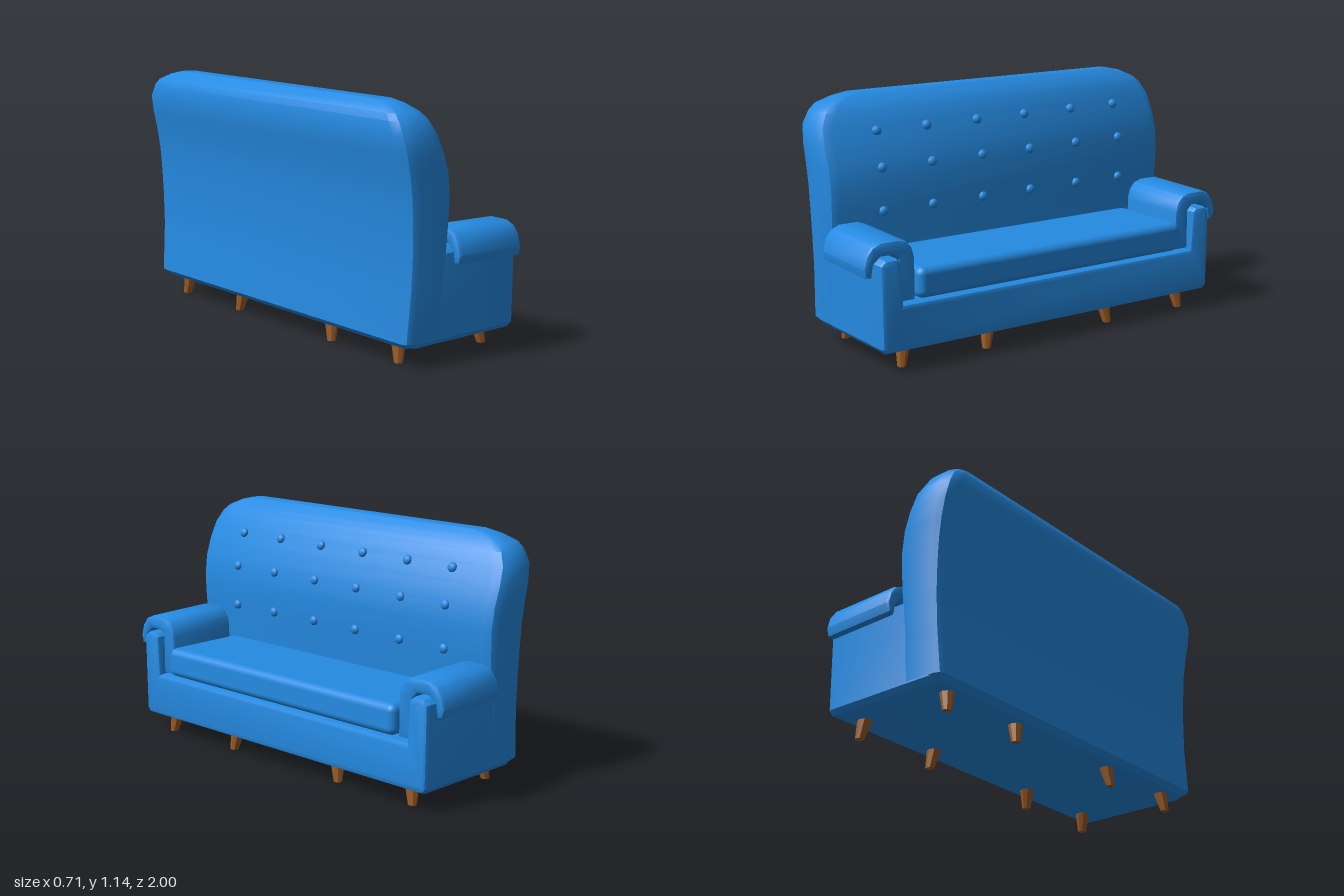
import * as THREE from 'three';
import { toCreasedNormals } from 'three/addons/utils/BufferGeometryUtils.js';
import { RoundedBoxGeometry } from 'three/addons/geometries/RoundedBoxGeometry.js';

const fabric = new THREE.MeshStandardMaterial({ color: 0x258be3 });
fabric.name = 'blue fabric';
const wood = new THREE.MeshStandardMaterial({ color: 0x9c5c26 });
wood.name = 'brown wood';

function add(parent, name, geometry, material) {
  const mesh = new THREE.Mesh(geometry, material);
  mesh.name = name;
  parent.add(mesh);
  return mesh;
}

// Extrudes a (z, y) outline along x from x0 to x1, bevelled inside the outline
function extrudeAlongX(points, x0, x1, bevel) {
  const shape = new THREE.Shape(points.map(([z, y]) => new THREE.Vector2(-z, y)));
  const g = new THREE.ExtrudeGeometry(shape, {
    depth: x1 - x0 - 2 * bevel, bevelEnabled: true, bevelThickness: bevel,
    bevelSize: bevel, bevelOffset: -bevel, bevelSegments: 2,
  });
  g.rotateY(Math.PI / 2);
  g.translate(x0 + bevel, 0, 0);
  return g;
}

// Curved backrest lofted through horizontal, corner-rounded sections
function backrestGeometry() {
  // height, rear x, front x, half width, corner radius
  const levels = [
    [0.088, -0.275, -0.09, 0.9, 0.03], [0.115, -0.305, -0.08, 0.93, 0.035],
    [0.35, -0.288, -0.08, 0.938, 0.035], [0.5, -0.288, -0.072, 0.945, 0.04],
    [0.62, -0.293, -0.063, 0.95, 0.045], [0.74, -0.302, -0.058, 0.954, 0.05],
    [0.84, -0.318, -0.07, 0.958, 0.055], [0.93, -0.338, -0.1, 0.96, 0.058],
    [1.01, -0.355, -0.13, 0.951, 0.06], [1.07, -0.352, -0.155, 0.92, 0.06],
    [1.1, -0.343, -0.175, 0.889, 0.055], [1.13, -0.313, -0.2, 0.82, 0.045],
    [1.145, -0.293, -0.217, 0.75, 0.03],
  ];
  const position = [], index = [];
  let n = 0;
  for (const [y, r, f, w, c] of levels) {
    const m = c * 0.293;
    const half = [[r, w - c], [r + m, w - m], [r + c, w], [f - c, w], [f - m, w - m], [f, w - c]];
    const ring = [...half, ...half.map(([x, z]) => [x, -z]).reverse()];
    n = ring.length;
    ring.forEach(([x, z]) => position.push(x, y, z));
  }
  for (let i = 0; i < levels.length - 1; i++) {
    for (let j = 0; j < n; j++) {
      const a = i * n + j, b = i * n + (j + 1) % n;
      index.push(a, b, b + n, a, b + n, a + n);
    }
  }
  const top = (levels.length - 1) * n;
  for (let j = 1; j < n - 1; j++) {
    index.push(top, top + j, top + j + 1, 0, j + 1, j);
  }
  const g = new THREE.BufferGeometry();
  g.setAttribute('position', new THREE.Float32BufferAttribute(position, 3));
  g.setIndex(index);
  return toCreasedNormals(g, 0.6);
}

// Leg whose outer sides stay upright while the inner sides taper
function legGeometry() {
  const g = new THREE.CylinderGeometry(0.035, 0.02, 0.1, 8);
  const p = g.attributes.position;
  for (let i = 0; i < p.count; i++) {
    if (p.getY(i) < 0) {
      p.setX(i, p.getX(i) + 0.015);
      p.setZ(i, p.getZ(i) + 0.015);
    }
  }
  g.translate(0, 0.05, 0);
  return toCreasedNormals(g, 0.4);
}

export function createModel() {
  const sofa = new THREE.Group();
  sofa.name = 'sofa';

  add(sofa, 'backrest', backrestGeometry(), fabric);

  // Base with two upright arm panels, as one U-shaped frame
  const side = [[0.82, 0.3], [0.83, 0.49], [0.85, 0.507], [0.91, 0.507], [0.935, 0.485],
    [0.93, 0.11], [0.91, 0.087]];
  const frame = [...side, ...side.map(([z, y]) => [-z, y]).reverse()];
  add(sofa, 'baseFrame', toCreasedNormals(extrudeAlongX(frame, -0.26, 0.347, 0.022), 0.5), fabric);

  // Seat cushion with a slightly swollen front
  const seat = new RoundedBoxGeometry(0.45, 0.142, 1.495, 3, 0.035);
  seat.translate(0.126, 0.379, 0);
  add(sofa, 'seatCushion', seat, fabric);

  // Padded arm covers: long inner side, rolled outer lip, sloping a little forward
  const arch = [[0.745, 0.31], [0.745, 0.5], [0.757, 0.545], [0.785, 0.577], [0.825, 0.59],
    [0.915, 0.59], [0.957, 0.572], [0.985, 0.535], [1, 0.48], [0.99, 0.44], [0.96, 0.437],
    [0.95, 0.495], [0.915, 0.525], [0.85, 0.525], [0.825, 0.5], [0.825, 0.31]];
  for (const s of [1, -1]) {
    const outline = arch.map(([z, y]) => [z * s, y]);
    const g = extrudeAlongX(outline, -0.065, 0.315, 0.016);
    const p = g.attributes.position;
    for (let i = 0; i < p.count; i++) p.setY(i, p.getY(i) - 0.025 * p.getX(i));
    add(sofa, s > 0 ? 'armCoverNear' : 'armCoverFar', toCreasedNormals(g, 0.6), fabric);
  }

  // Tufting buttons, three rows of six
  const buttons = new THREE.Group();
  buttons.name = 'buttons';
  sofa.add(buttons);
  const button = new THREE.SphereGeometry(0.023, 10, 8);
  for (const [x, y, tilt] of [[-0.11, 0.983, 0.35], [-0.065, 0.82, 0.2], [-0.06, 0.62, 0]]) {
    for (const z of [-0.68, -0.415, -0.137, 0.137, 0.415, 0.68]) {
      const b = add(buttons, 'button', button, fabric);
      b.position.set(x, y, z);
      b.rotation.z = tilt;
      b.scale.x = 0.75;
    }
  }

  // Eight tapered legs, four along the front and four along the rear
  const leg = legGeometry();
  for (const [x, sx] of [[0.26, 1], [-0.215, -1]]) {
    for (const z of [-0.785, -0.335, 0.335, 0.785]) {
      const l = add(sofa, sx > 0 ? 'frontLeg' : 'rearLeg', leg, wood);
      l.position.set(x, 0, z);
      // Quarter turns keep the upright sides facing outward
      l.rotation.y = sx > 0 ? (z > 0 ? 0 : Math.PI / 2) : (z > 0 ? -Math.PI / 2 : Math.PI);
    }
  }
  return sofa;
}
